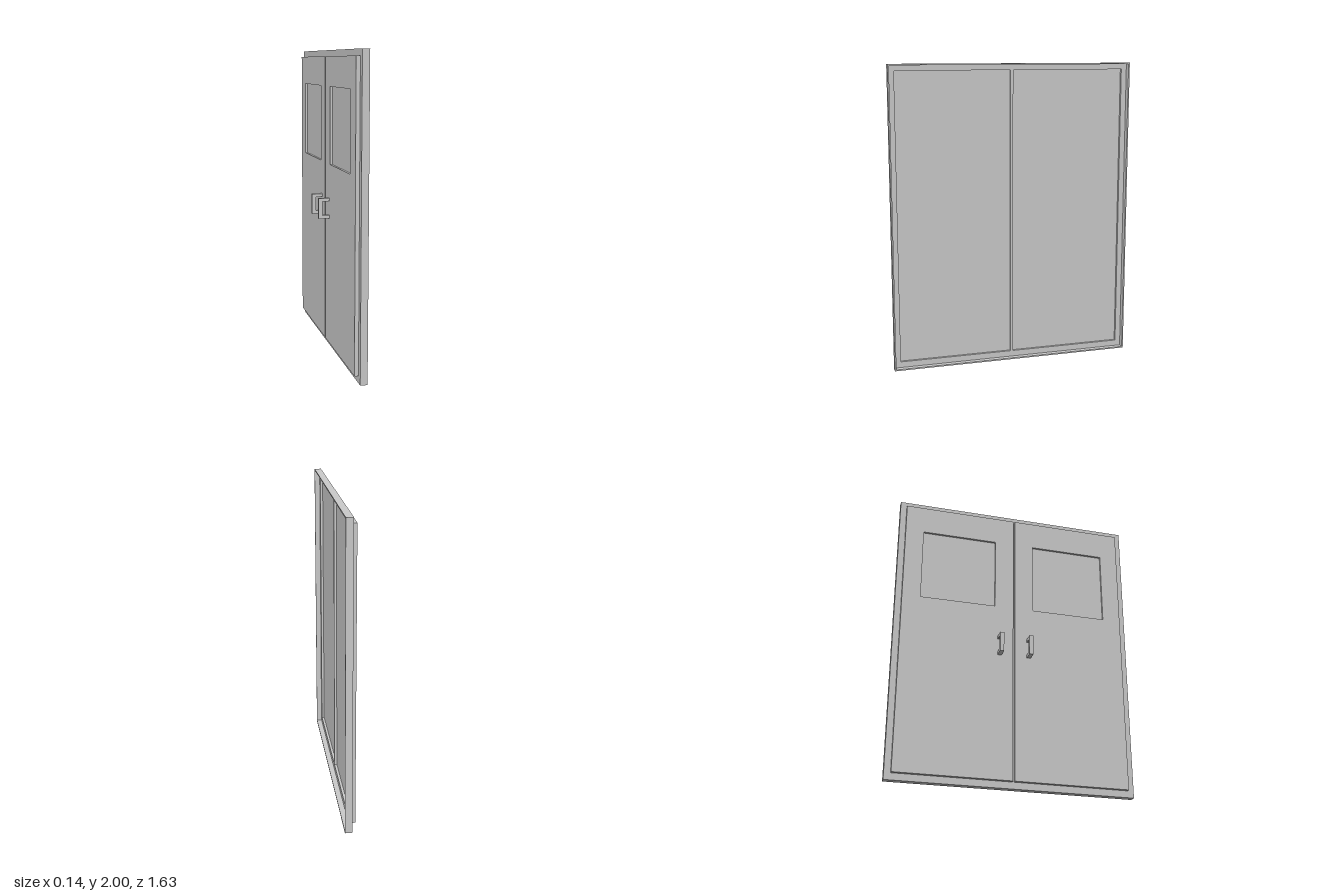
import * as THREE from 'three';

const grey = new THREE.MeshStandardMaterial({ color: 0xcccccc });

// Traces a rectangle (u across, v up) onto a shape or hole path
function rect(path, u0, u1, v0, v1) {
  path.moveTo(u0, v0);
  path.lineTo(u1, v0);
  path.lineTo(u1, v1);
  path.lineTo(u0, v1);
  path.closePath();
  return path;
}

// Upright sheet in the zy plane, from x0 to x1, with rectangular openings
function sheet(name, outline, holes, x0, x1) {
  const shape = rect(new THREE.Shape(), ...outline);
  for (const h of holes) shape.holes.push(rect(new THREE.Path(), ...h));
  const geo = new THREE.ExtrudeGeometry(shape, { depth: x1 - x0, bevelEnabled: false });
  geo.rotateY(-Math.PI / 2); // u becomes +z, depth becomes -x
  geo.translate(x1, 0, 0);
  const mesh = new THREE.Mesh(geo, grey);
  mesh.name = name;
  return mesh;
}

// Rectangle shrunk by t on every side
const inset = ([a, b, c, d], t) => [a + t, b - t, c + t, d - t];

// Rectangle on the +z or -z half
const onSide = ([a, b, c, d], side) => (side > 0 ? [a, b, c, d] : [-b, -a, c, d]);

const FRAME = [-0.815, 0.815, 0, 2];
const LEAF = [0.006, 0.773, 0.045, 1.96];
const WINDOW = [0.135, 0.648, 1.262, 1.767];

// C-shaped pull handle
function handle(z) {
  const s = new THREE.Shape();
  const pts = [[0, 0.9], [-0.072, 0.9], [-0.072, 1.036], [0, 1.036],
    [0, 1.016], [-0.047, 1.016], [-0.047, 0.922], [0, 0.922]];
  s.setFromPoints(pts.map(([x, y]) => new THREE.Vector2(x, y)));
  const geo = new THREE.ExtrudeGeometry(s, { depth: 0.027, bevelEnabled: false });
  geo.translate(0, 0, z - 0.0135);
  const mesh = new THREE.Mesh(geo, grey);
  mesh.name = 'handle';
  return mesh;
}

// One door leaf: skin with a window opening, backing panel, folded edge, handle
function doorLeaf(side) {
  const leaf = new THREE.Group();
  leaf.name = side > 0 ? 'frontDoorLeaf' : 'backDoorLeaf';
  const outline = onSide(LEAF, side);
  leaf.add(
    sheet('doorSkin', outline, [onSide(WINDOW, side)], 0, 0.015),
    sheet('doorBacking', outline, [], 0.015, 0.018),
    sheet('doorEdge', outline, [inset(outline, 0.003)], 0.018, 0.025),
    handle(side * 0.101)
  );
  return leaf;
}

export function createModel() {
  const model = new THREE.Group();
  model.name = 'doubleDoor';

  // Frame: face plate with two openings and a thin rim behind it
  const frame = new THREE.Group();
  frame.name = 'frame';
  const openings = [1, -1].map((s) => inset(onSide(LEAF, s), 0.003));
  frame.add(
    sheet('framePlate', FRAME, openings, 0.025, 0.035),
    sheet('frameRim', FRAME, [inset(FRAME, 0.009)], 0.035, 0.071)
  );
  model.add(frame);

  // Door leaves
  for (const side of [1, -1]) model.add(doorLeaf(side));
  return model;
}
